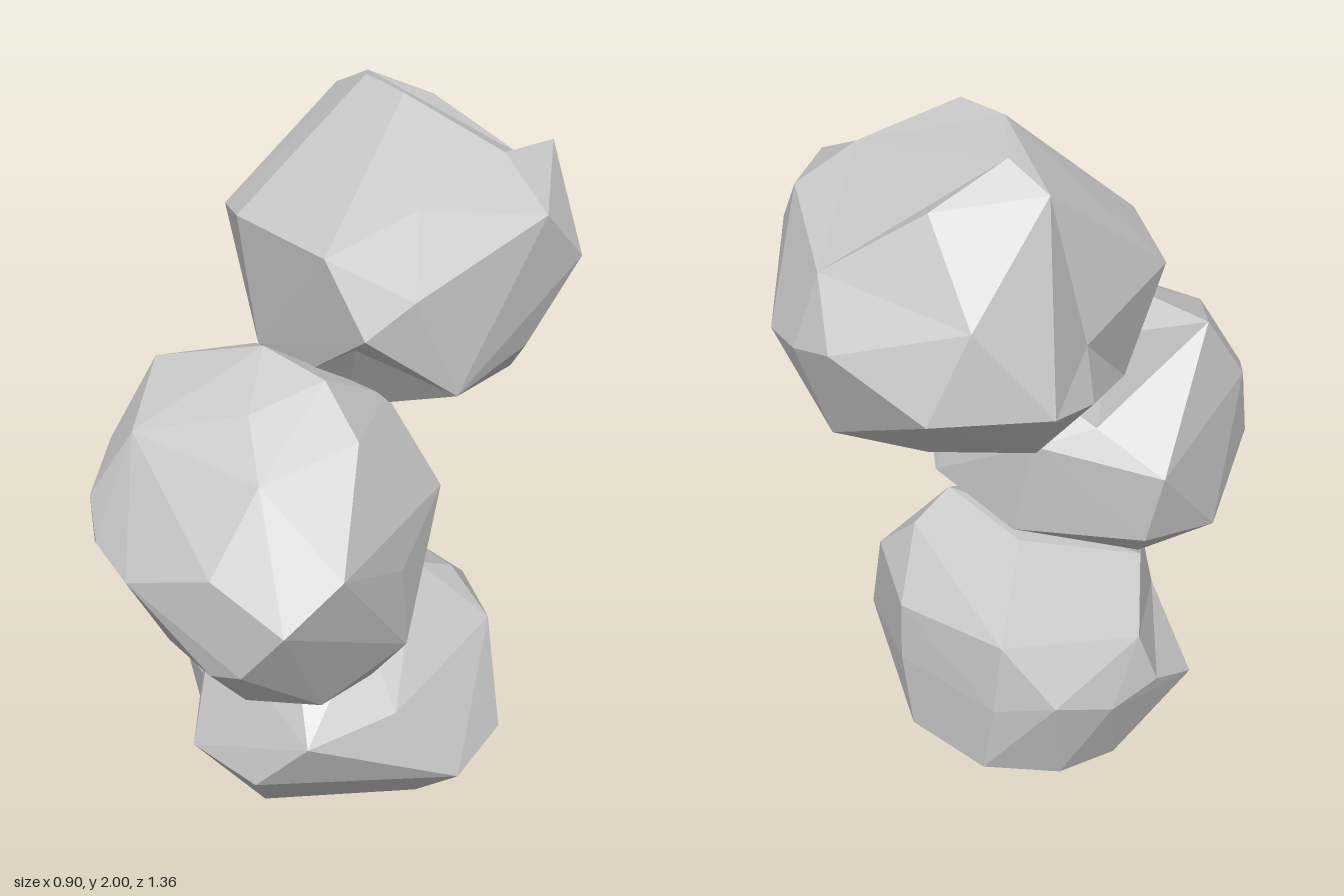
import * as THREE from 'three';
import { ConvexGeometry } from 'three/addons/geometries/ConvexGeometry.js';

const stone = new THREE.MeshStandardMaterial({ color: 0xc8c8c8, flatShading: true });
stone.name = 'light grey stone';

// Faceted boulder from its corner points; each dent moves one corner inwards.
function boulder(name, corners, dents) {
  const geometry = new ConvexGeometry(corners.map((c) => new THREE.Vector3(...c)));
  const p = geometry.attributes.position;
  const v = new THREE.Vector3();
  for (const [from, to] of dents) {
    const target = new THREE.Vector3(...from);
    for (let i = 0; i < p.count; i++) {
      if (v.fromBufferAttribute(p, i).distanceTo(target) < 0.001) p.setXYZ(i, ...to);
    }
  }
  geometry.computeVertexNormals();
  const mesh = new THREE.Mesh(geometry, stone);
  mesh.name = name;
  return mesh;
}

export function createModel() {
  const group = new THREE.Group();
  group.name = 'stackedBoulders';

  // Bottom boulder, with a wedge-shaped notch between two spurs on its right side
  const notch = [-0.45, 0.36, 0.24];
  group.add(boulder('bottomBoulder', [
    [0.45, 0.27, 0.03], [0.43, 0.32, -0.16], [0.34, 0.5, 0.16], [0.34, 0.62, -0.2],
    [0.25, 0.46, 0.39], [0.1, 0.28, 0.44], [-0.14, 0.28, 0.45], [-0.27, 0.1, 0.28],
    [-0.32, 0.02, 0.04], [-0.07, 0, 0.26], [0.24, 0.04, -0.04], [0.08, 0.01, -0.07],
    [0.2, 0.08, -0.2], [0.1, 0.18, -0.35], [-0.16, 0.18, -0.35], [0.13, 0.42, -0.35],
    [-0.2, 0.42, -0.35], [0.13, 0.6, -0.34], [-0.21, 0.64, -0.33], [0.2, 0.8, -0.06],
    [0.22, 0.74, -0.18], [-0.05, 0.74, -0.06], [-0.28, 0.66, 0.18], [0.2, 0.69, 0.14],
    [-0.2, 0.59, 0.31], [0.15, 0.58, 0.32], [-0.41, 0.56, 0], [-0.45, 0.4, 0.04],
    [-0.42, 0.39, -0.12], [-0.35, 0.47, -0.28], [-0.45, 0.3, 0.21], [-0.34, 0.19, 0.13],
    [-0.17, 0.07, -0.22], [-0.3, 0.12, -0.19], notch,
  ], [[notch, [-0.22, 0.42, 0.34]]]));

  // Middle boulder, set forward, with a hollow at its back
  const hollow = [-0.28, 1.18, 0];
  group.add(boulder('middleBoulder', [
    [-0.05, 1.44, 0.23], [0.13, 1.4, 0.2], [0.27, 1.3, 0.23], [0.06, 1.35, 0.38],
    [-0.19, 1.27, 0.53], [-0.34, 1.35, 0.33], [-0.38, 1.15, 0.46], [-0.29, 1.08, 0.6],
    [0.18, 1.06, 0.62], [-0.21, 1.0, 0.65], [-0.06, 0.97, 0.68], [0.37, 0.97, 0.57],
    [0.42, 1.08, 0.43], [0.15, 0.77, 0.61], [0.25, 0.81, 0.6], [-0.41, 0.74, 0.33],
    [-0.35, 0.9, 0.56], [0.37, 0.74, 0.16], [0.37, 0.97, 0.18], [0.25, 0.58, 0.34],
    [0.1, 0.58, 0.46], [-0.2, 0.61, 0.46], [-0.26, 0.65, 0.2], [0.28, 0.61, 0.19],
    [0.3, 1.09, -0.03], [0.12, 1.28, -0.02], [-0.2, 1.36, 0.12], [-0.41, 1.04, 0.07],
    [-0.12, 1.1, -0.09], [0.2, 0.89, -0.11], [-0.06, 0.81, -0.1], [-0.37, 0.83, 0.06],
    [0.19, 1.25, 0.47], hollow,
  ], [[hollow, [-0.21, 1.12, 0.05]]]));

  // Top boulder, set back, with hollows in its upper rear, right side and underside
  const scoop = [0.08, 1.83, -0.6];
  const saddle = [0.27, 1.93, -0.28];
  const cheek = [-0.46, 1.57, -0.22];
  const overhang = [0.21, 1.35, 0.12];
  group.add(boulder('topBoulder', [
    [-0.1, 2, -0.17], [0.05, 1.99, -0.14], [-0.2, 1.97, -0.28], [-0.31, 1.92, -0.28],
    [-0.13, 1.89, -0.45], [0.24, 1.85, -0.47], [-0.32, 1.72, -0.54], [0.44, 1.78, -0.2],
    [0.25, 1.8, 0.02], [0.45, 1.65, -0.33], [0.11, 1.69, 0.18], [-0.22, 1.7, 0.15],
    [-0.39, 1.66, 0.04], [0.3, 1.61, 0.08], [0.23, 1.52, 0.17], [0.34, 1.35, -0.03],
    [0.38, 1.43, -0.23], [-0.05, 1.63, -0.68], [0.09, 1.58, -0.65], [0.24, 1.54, -0.58],
    [-0.27, 1.52, -0.63], [0.08, 1.32, -0.57], [0.2, 1.25, -0.41], [-0.1, 1.28, -0.45],
    [0, 1.18, -0.17], [0, 1.21, 0], [-0.32, 1.35, 0], [0.02, 1.37, 0.14],
    [-0.45, 1.51, -0.43], [-0.43, 1.46, -0.27], [-0.31, 1.3, -0.32], [-0.18, 1.37, 0.13],
    scoop, saddle, cheek, overhang,
  ], [
    [scoop, [0.07, 1.74, -0.58]], [saddle, [0.26, 1.87, -0.26]],
    [cheek, [-0.37, 1.56, -0.22]], [overhang, [0.14, 1.45, 0.11]],
  ]));

  return group;
}
